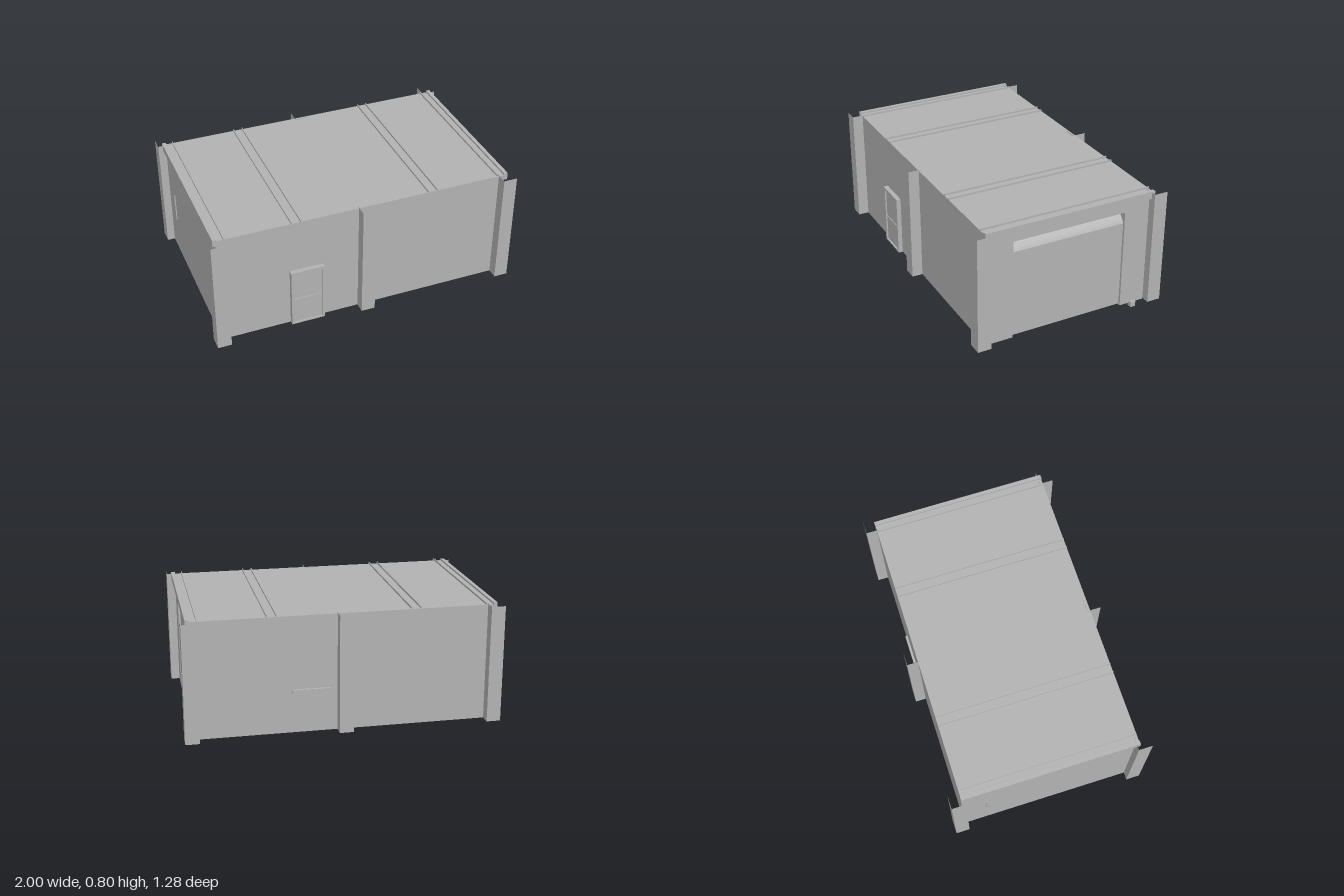
import * as THREE from 'three';

export function createModel() {
  const group = new THREE.Group();
  const grey = new THREE.MeshStandardMaterial({ color: 0xb2b2b2 });
  grey.name = 'concreteGrey';

  const add = (name, geometry) => {
    const mesh = new THREE.Mesh(geometry, grey);
    mesh.name = name;
    group.add(mesh);
    return mesh;
  };
  // Box given by its minimum and maximum corners
  const box = (name, x0, x1, y0, y1, z0, z1) => {
    const mesh = add(name, new THREE.BoxGeometry(x1 - x0, y1 - y0, z1 - z0));
    mesh.position.set((x0 + x1) / 2, (y0 + y1) / 2, (z0 + z1) / 2);
    return mesh;
  };

  // Main hall, stopping short of the gate recess
  box('hall', -0.95, 0.83, 0.03, 0.785, -0.57, 0.57);

  // Gate wall around the opening
  for (const s of [-1, 1]) {
    box('gateSideWall', 0.83, 0.945, 0.03, 0.785, s < 0 ? -0.57 : 0.38, s < 0 ? -0.38 : 0.57);
    box('gateSill', 0.89, 0.943, 0.022, 0.03, s < 0 ? -0.55 : 0.38, s < 0 ? -0.38 : 0.52);
  }
  box('gateLintel', 0.83, 0.945, 0.685, 0.785, -0.38, 0.38);

  // Gate leaf, curving inwards at the top
  const leaf = new THREE.Shape();
  leaf.moveTo(0.83, 0.03);
  leaf.lineTo(0.93, 0.03);
  leaf.lineTo(0.93, 0.605);
  leaf.quadraticCurveTo(0.9, 0.66, 0.84, 0.685);
  leaf.lineTo(0.83, 0.685);
  const gate = add('gate', new THREE.ExtrudeGeometry(leaf, { depth: 0.76, bevelEnabled: false, curveSegments: 8 }));
  gate.position.z = -0.38;

  // Hollow square pillars on both long sides
  const tube = new THREE.CylinderGeometry(0.0636, 0.0636, 0.76, 4, 1, true).toNonIndexed();
  tube.rotateY(Math.PI / 4);
  tube.computeVertexNormals();
  for (const z of [-0.595, 0.595]) {
    for (const x of [-0.955, 0, 0.955]) {
      add('pillar', tube).position.set(x, 0.41, z);
    }
  }

  // End beams and paired roof ribs
  for (const s of [-1, 1]) {
    const outer = s * 0.97, inner = s * 0.945;
    box('endBeam', Math.min(outer, inner), Math.max(outer, inner), 0.75, 0.797, -0.572, 0.572);
    box('endRib', s * 0.9 - 0.003, s * 0.9 + 0.003, 0.783, 0.797, -0.57, 0.57);
    for (const offset of [-0.03, 0.03]) {
      const x = s * 0.45 + offset;
      box('roofRib', x - 0.003, x + 0.003, 0.783, 0.797, -0.57, 0.57);
    }
  }

  // Side door: frame, recessed panel and cross rail
  const frame = new THREE.Shape();
  frame.moveTo(-0.5, 0.03);
  frame.lineTo(-0.28, 0.03);
  frame.lineTo(-0.28, 0.433);
  frame.lineTo(-0.5, 0.433);
  const hole = new THREE.Path();
  hole.moveTo(-0.483, 0.04);
  hole.lineTo(-0.483, 0.416);
  hole.lineTo(-0.297, 0.416);
  hole.lineTo(-0.297, 0.04);
  frame.holes.push(hole);
  add('doorFrame', new THREE.ExtrudeGeometry(frame, { depth: 0.035, bevelEnabled: false })).position.z = 0.565;
  box('doorPanel', -0.49, -0.29, 0.035, 0.425, 0.56, 0.59);
  box('doorRail', -0.483, -0.297, 0.212, 0.222, 0.585, 0.595);

  // Back ledge and end handle
  box('backLedge', 0.09, 0.33, 0.29, 0.313, -0.585, -0.57);
  box('endHandle', -0.957, -0.95, 0.29, 0.48, -0.415, -0.405);

  // Underside frame
  for (const z of [-0.1, 0.085]) box('floorFrameLong', -0.3, 0.76, 0.024, 0.031, z, z + 0.015);
  for (const x of [-0.3, 0.745]) box('floorFrameShort', x, x + 0.015, 0.024, 0.031, -0.085, 0.085);

  // Small drain peg by the gate
  box('drainPeg', 0.93, 0.965, 0, 0.035, -0.484, -0.449);

  return group;
}
